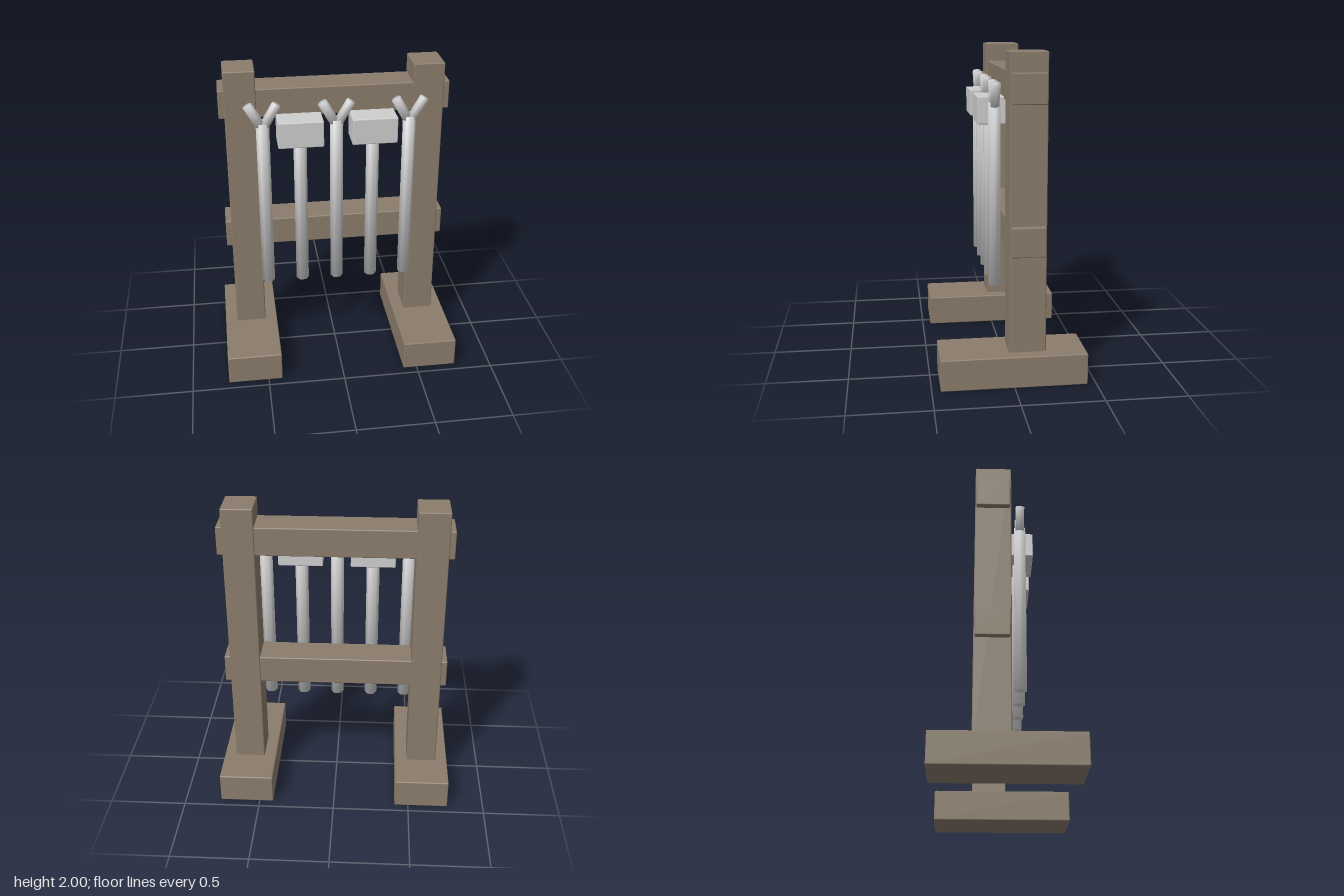
import * as THREE from 'three';
import { RoundedBoxGeometry } from 'three/addons/geometries/RoundedBoxGeometry.js';

export function createModel() {
  const model = new THREE.Group();
  model.name = 'weaponRack';

  const wood = new THREE.MeshStandardMaterial({ color: 0x8b7d6b });
  wood.name = 'wood';
  const steel = new THREE.MeshStandardMaterial({ color: 0xcfcfcf });
  steel.name = 'steel';

  // Box with a narrow bevel on every edge
  function block(name, material, w, h, d, x, y, z, parent = model) {
    const mesh = new THREE.Mesh(new RoundedBoxGeometry(w, h, d, 1, 0.007), material);
    mesh.name = name;
    mesh.position.set(x, y, z);
    parent.add(mesh);
    return mesh;
  }

  // Six-sided rod whose normals blend softly from the sides into the ends
  function rod(name, radius, length, x, y, parent) {
    const geo = new THREE.CylinderGeometry(radius, radius, length, 6);
    geo.rotateY(Math.PI / 2);
    const p = geo.attributes.position;
    const n = new THREE.Vector3();
    for (let i = 0; i < p.count; i++) {
      n.set(p.getX(i) / radius, Math.sign(p.getY(i)) * 0.6, p.getZ(i) / radius).normalize();
      geo.attributes.normal.setXYZ(i, n.x, n.y, n.z);
    }
    const mesh = new THREE.Mesh(geo, steel);
    mesh.name = name;
    mesh.position.set(x, y, 0);
    parent.add(mesh);
    return mesh;
  }

  // Wooden frame: feet, posts and two crossbeams passing through the posts
  const frameZ = -0.087;
  for (const [side, s] of [['left', 1], ['right', -1]]) {
    block(side + 'Foot', wood, 0.353, 0.197, 0.894, s * 0.5855, 0.1, 0);
    block(side + 'Post', wood, 0.196, 1.85, 0.226, s * 0.586, 1.075, frameZ);
  }
  block('upperBeam', wood, 1.44, 0.182, 0.21, 0, 1.79, frameZ);
  block('lowerBeam', wood, 1.44, 0.182, 0.21, 0, 0.89, frameZ);

  // Hanging tools
  function tool(name, x) {
    const group = new THREE.Group();
    group.name = name;
    group.position.set(x, 0, 0.087);
    rod('shaft', 0.0415, 1.128, 0, 1.126, group);
    model.add(group);
    return group;
  }

  // Forked poles with two splayed prongs
  for (const x of [-0.457, 0, 0.457]) {
    const fork = tool('forkedPole', x);
    for (const s of [-1, 1]) {
      rod('prong', 0.031, 0.17, s * 0.0475, 1.734, fork).rotation.z = -s * Math.PI / 6;
    }
  }

  // Hammers with block heads
  for (const x of [-0.229, 0.229]) {
    block('hammerHead', steel, 0.283, 0.168, 0.182, 0, 1.632, 0, tool('hammer', x));
  }

  return model;
}
